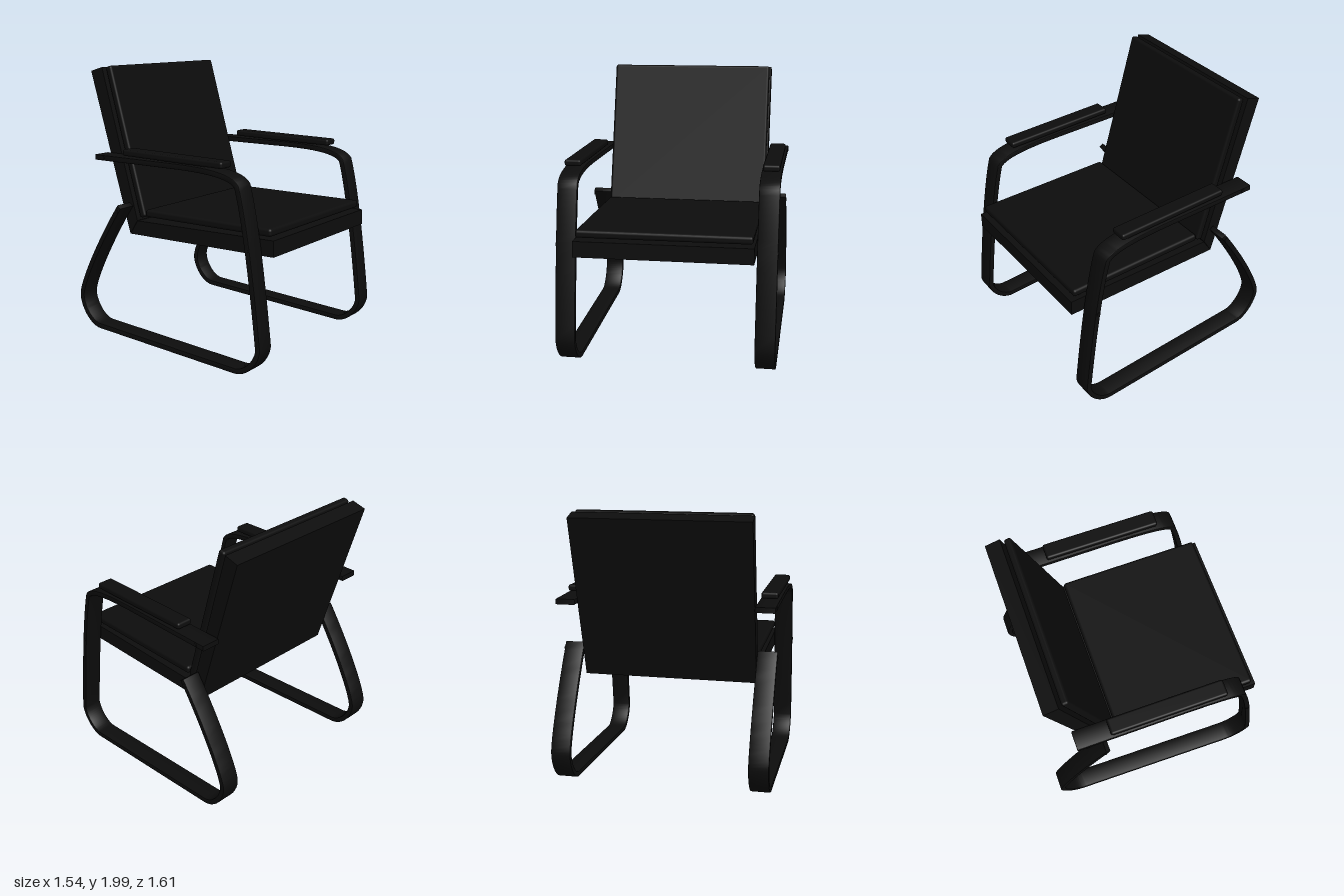
import * as THREE from 'three';
import { toCreasedNormals } from 'three/addons/utils/BufferGeometryUtils.js';
import { RoundedBoxGeometry } from 'three/addons/geometries/RoundedBoxGeometry.js';

const black = new THREE.MeshStandardMaterial({ color: 0x0d0d0d });
black.name = 'black';

const BODY_X = -0.005; // middle of seat and back
const BODY_W = 1.235;
const V = (z, y) => new THREE.Vector2(z, y);

function part(name, geometry) {
  const mesh = new THREE.Mesh(geometry, black);
  mesh.name = name;
  return mesh;
}

// Extrudes a side outline given as (z, y) points across the width, centred on x = 0
function sideExtrude(points, width, bevel) {
  const geometry = new THREE.ExtrudeGeometry(new THREE.Shape(points), {
    depth: width - 2 * bevel, bevelEnabled: bevel > 0, bevelSize: bevel,
    bevelThickness: bevel, bevelOffset: -bevel, bevelSegments: 2,
  });
  geometry.translate(0, 0, bevel - width / 2).rotateY(-Math.PI / 2);
  return toCreasedNormals(geometry, 0.6);
}

// Rounded slab whose middle line runs from a to b in the (z, y) plane
function slab(name, a, b, thickness, width, radius) {
  const mesh = part(name, new RoundedBoxGeometry(width, thickness, a.distanceTo(b), 3, radius));
  mesh.position.set(0, (a.y + b.y) / 2, (a.x + b.x) / 2);
  mesh.rotation.x = -Math.atan2(b.y - a.y, b.x - a.x);
  return mesh;
}

// Middle line of the bent side band
function bandPath() {
  const path = new THREE.Path();
  path.moveTo(-0.615, 1.36);
  path.lineTo(0.1, 1.357);
  path.bezierCurveTo(0.35, 1.355, 0.56, 1.34, 0.61, 1.27);
  path.bezierCurveTo(0.66, 1.1, 0.72, 0.75, 0.78, 0.2);
  path.bezierCurveTo(0.77, 0.11, 0.68, 0.025, 0.6, 0.025);
  path.lineTo(-0.6, 0.1);
  path.bezierCurveTo(-0.7, 0.1, -0.79, 0.23, -0.785, 0.32);
  path.bezierCurveTo(-0.775, 0.42, -0.6, 0.74, -0.4, 1.02);
  return path.getPoints(16);
}

// Offsets the middle line to both sides for a closed band outline
function bandOutline(thickness) {
  const line = bandPath();
  const outer = [], inner = [];
  line.forEach((p, i) => {
    const before = line[Math.max(i - 1, 0)];
    const after = line[Math.min(i + 1, line.length - 1)];
    const t = after.clone().sub(before).normalize();
    const n = V(-t.y, t.x).multiplyScalar(thickness / 2);
    outer.push(p.clone().add(n));
    inner.unshift(p.clone().sub(n));
  });
  return [...outer, ...inner];
}

export function createModel() {
  const chair = new THREE.Group();
  chair.name = 'armchair';

  // Upholstered body: seat and back meet in a mitre
  const body = new THREE.Group();
  body.name = 'body';
  body.position.x = BODY_X;
  body.add(
    part('seatBase', sideExtrude(
      [V(0.808, 0.805), V(0.808, 0.917), V(-0.35, 0.903), V(-0.418, 0.8)], BODY_W, 0)),
    part('backrest', sideExtrude(
      [V(-0.42, 0.8), V(-0.352, 0.905), V(-0.66, 1.987), V(-0.765, 1.958)], BODY_W, 0)),
    slab('seatCushion', V(-0.285, 0.964), V(0.778, 0.96), 0.055, BODY_W - 0.02, 0.02),
    slab('backCushion', V(-0.615, 1.995), V(-0.312, 0.93), 0.052, BODY_W - 0.02, 0.018),
  );
  chair.add(body);

  // Side frames with arm pads and flat bolt heads
  const bandGeometry = sideExtrude(bandOutline(0.038), 0.14, 0.006);
  const boltGeometry = new THREE.CylinderGeometry(0.014, 0.014, 0.008, 16).rotateZ(Math.PI / 2);
  for (const side of [1, -1]) {
    const frame = new THREE.Group();
    frame.name = side > 0 ? 'leftFrame' : 'rightFrame';
    frame.position.x = side * 0.694;
    frame.add(part('band', bandGeometry));
    frame.add(slab('armPad', V(-0.368, 1.411), V(0.486, 1.394), 0.046, 0.118, 0.016));
    for (const [z, y] of [[0.692, 0.86], [-0.425, 0.985], [-0.54, 1.36]]) {
      const bolt = part('bolt', boltGeometry);
      bolt.position.set(side * 0.07, y, z);
      frame.add(bolt);
    }
    chair.add(frame);
  }
  return chair;
}
